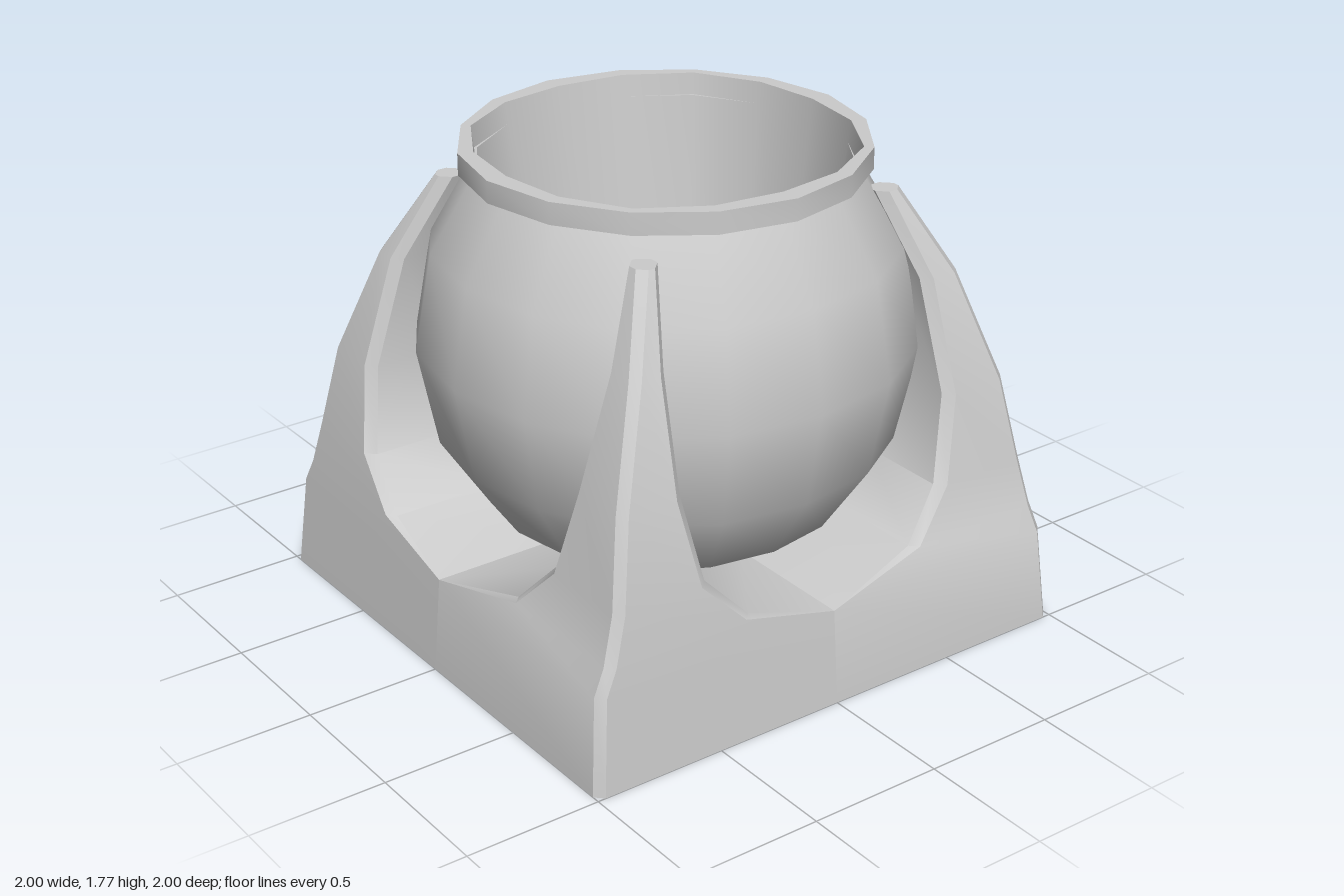
import * as THREE from 'three';
import { toCreasedNormals } from 'three/addons/utils/BufferGeometryUtils.js';

const grey = () => new THREE.MeshStandardMaterial({ color: 0xcccccc, side: THREE.DoubleSide });

// Faceted turned part with smooth sides and sharp rims.
// Each profile point is radius, height and how far it swells on the diagonals.
function turned(name, profile) {
  const pts = profile.map(([r, y]) => new THREE.Vector2(r, y));
  const geo = new THREE.LatheGeometry(pts, 16);
  const pos = geo.attributes.position;
  for (let i = 0; i < pos.count; i++) {
    const x = pos.getX(i), z = pos.getZ(i);
    const swell = profile[i % profile.length][2];
    const s = 1 + swell * Math.sin(2 * Math.atan2(x, z)) ** 2;
    pos.setX(i, x * s);
    pos.setZ(i, z * s);
  }
  const mesh = new THREE.Mesh(toCreasedNormals(geo, 0.75), grey());
  mesh.name = name;
  return mesh;
}

// Leg levels: height, corner x, corner z, front arch x, side arch z, arch bevel, bowl radius
const LEVELS = [
  [0.00, 1.000, 1.000, 0.00, 0.00, 0.000, 0.45],
  [0.35, 0.970, 0.970, 0.00, 0.00, 0.000, 0.45],
  [0.44, 0.960, 0.925, 0.42, 0.37, 0.030, 0.62],
  [0.61, 0.940, 0.875, 0.580, 0.54, 0.035, 0.74],
  [0.92, 0.885, 0.820, 0.650, 0.60, 0.035, 0.83],
  [1.31, 0.770, 0.685, 0.645, 0.58, 0.035, 0.82],
  [1.61, 0.615, 0.545, 0.550, 0.49, 0.035, 0.71],
];

// One cross-section, running from the side arch round the corner to the front arch
function section([y, X, Z, cx, cz, w, R]) {
  const dx = cx - w, dz = cz - w;
  const reach = (v, limit) => Math.min(limit, Math.sqrt(R * R - v * v));
  return [
    [reach(dz, X - w), y, dz], [X - w, y, dz], [X, y, cz],
    [X, y, Z - 0.03], [X - 0.03, y, Z],
    [cx, y, Z], [dx, y, Z - w], [dx, y, reach(dx, Z - w)],
  ];
}

// A quarter of the frame: half of two walls, the corner and the pointed leg
function quarterGeometry() {
  const rows = LEVELS.map(section);
  const pos = [];
  const tri = (...p) => p.forEach((v) => pos.push(...v));
  for (let i = 0; i < rows.length - 1; i++) {
    const first = i === 0 ? 2 : 0;
    const last = i === 0 ? 5 : 7;
    for (let j = first; j < last; j++) {
      const a = rows[i][j], b = rows[i + 1][j], c = rows[i + 1][j + 1], d = rows[i][j + 1];
      tri(a, b, c);
      tri(a, c, d);
    }
  }
  // Cap on the tip
  const tip = rows[rows.length - 1];
  for (let j = 1; j < 7; j++) tri(tip[0], tip[j + 1], tip[j]);
  const geo = new THREE.BufferGeometry();
  geo.setAttribute('position', new THREE.Float32BufferAttribute(pos, 3));
  return toCreasedNormals(geo, 0.65);
}

export function createModel() {
  const model = new THREE.Group();
  model.name = 'bowlInStand';

  // Four-legged open stand
  const stand = new THREE.Group();
  stand.name = 'stand';
  const quarter = quarterGeometry();
  const material = grey();
  for (let k = 0; k < 4; k++) {
    const leg = new THREE.Mesh(quarter, material);
    leg.name = 'standLeg' + (k + 1);
    leg.rotation.y = k * Math.PI / 2;
    stand.add(leg);
  }
  model.add(stand);

  // Round bowl, slightly squared on the diagonals
  model.add(turned('bowlOuter', [
    [0, 0.25, 0], [0.4, 0.3, 0.02], [0.64, 0.43, 0.02], [0.81, 0.69, 0.025],
    [0.88, 1.05, 0.025], [0.82, 1.41, 0.02], [0.66, 1.69, 0.02],
  ]));
  // Tapered inside with a flat floor
  model.add(turned('bowlInner', [[0.65, 1.77, 0.05], [0.5, 0.5, 0.05], [0, 0.5, 0]]));
  // Flat collar
  model.add(turned('rim', [
    [0.65, 1.69, 0.02], [0.725, 1.69, -0.01], [0.725, 1.77, -0.01], [0.65, 1.77, 0.05],
  ]));
  return model;
}
